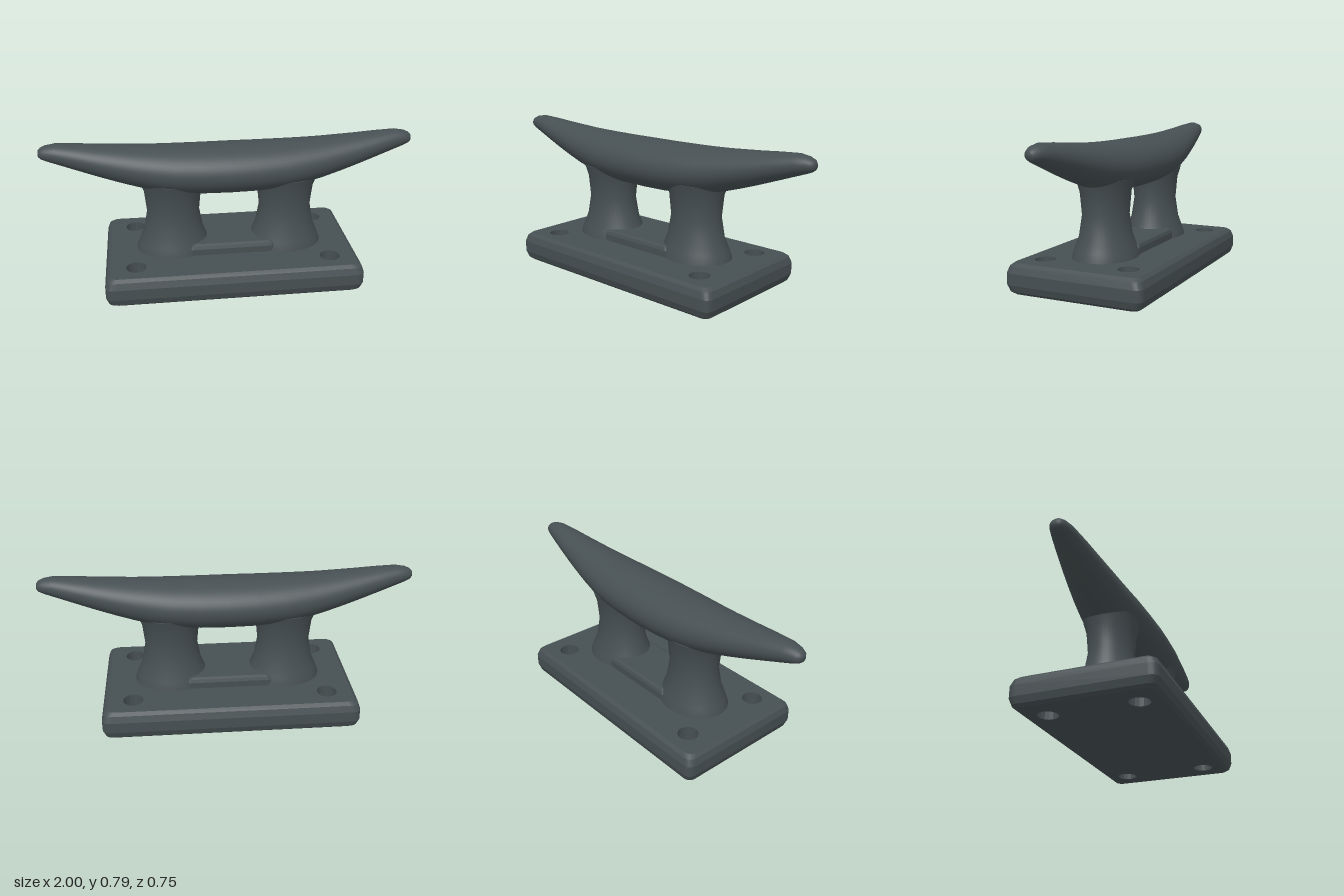
import * as THREE from 'three';
import { mergeVertices, toCreasedNormals } from 'three/addons/utils/BufferGeometryUtils.js';

const material = new THREE.MeshStandardMaterial({ color: 0x464f52 });

function addPart(group, name, geometry) {
  const mesh = new THREE.Mesh(geometry, material);
  mesh.name = name;
  group.add(mesh);
  return mesh;
}

// Slab with rounded corners, optional holes, and an outer edge inset per level [y, inset]
function slab(hx, hz, r, levels, holes = []) {
  const s = new THREE.Shape();
  s.moveTo(-hx + r, -hz);
  s.lineTo(hx - r, -hz);
  s.quadraticCurveTo(hx, -hz, hx, -hz + r);
  s.lineTo(hx, hz - r);
  s.quadraticCurveTo(hx, hz, hx - r, hz);
  s.lineTo(-hx + r, hz);
  s.quadraticCurveTo(-hx, hz, -hx, hz - r);
  s.lineTo(-hx, -hz + r);
  s.quadraticCurveTo(-hx, -hz, -hx + r, -hz);
  for (const [x, z, radius] of holes) {
    s.holes.push(new THREE.Path().absarc(x, z, radius, 0, Math.PI * 2, true));
  }
  const steps = levels.length - 1;
  const g = new THREE.ExtrudeGeometry(s, { depth: steps, steps, bevelEnabled: false, curveSegments: 8 });
  g.rotateX(-Math.PI / 2);
  const p = g.attributes.position;
  for (let i = 0; i < p.count; i++) {
    const [y, inset] = levels[Math.round(p.getY(i))];
    const x = p.getX(i), z = p.getZ(i);
    const outer = Math.abs(x) > hx - r - 1e-4 || Math.abs(z) > hz - r - 1e-4;
    const kx = outer ? (hx - inset) / hx : 1;
    const kz = outer ? (hz - inset) / hz : 1;
    p.setXYZ(i, x * kx, y, z * kz);
  }
  g.deleteAttribute('normal');
  return toCreasedNormals(g, 0.3);
}

// Horn: elliptical sections [x, top, bottom, half depth], mirrored about the middle
function hornGeometry() {
  const half = [
    [1, 0.741, 0.741, 0], [0.997, 0.757, 0.722, 0.018], [0.985, 0.77, 0.711, 0.034],
    [0.96, 0.781, 0.7, 0.046], [0.91, 0.789, 0.682, 0.06], [0.8, 0.782, 0.642, 0.083],
    [0.7, 0.773, 0.606, 0.102], [0.6, 0.766, 0.572, 0.12], [0.5, 0.759, 0.541, 0.137],
    [0.4, 0.755, 0.515, 0.152], [0.3, 0.752, 0.498, 0.166], [0.15, 0.75, 0.487, 0.176],
  ];
  const sections = [...half, [0, 0.75, 0.485, 0.18],
    ...half.slice().reverse().map(([x, ...rest]) => [-x, ...rest])];
  const around = 48;
  const g = new THREE.SphereGeometry(1, around, sections.length - 1);
  g.rotateZ(-Math.PI / 2);
  const p = g.attributes.position;
  for (let i = 0; i < p.count; i++) {
    const [x, top, bottom, hz] = sections[Math.floor(i / (around + 1))];
    const a = Math.atan2(p.getY(i), p.getZ(i));
    p.setXYZ(i, x, (top + bottom) / 2 + (top - bottom) / 2 * Math.sin(a), hz * Math.cos(a));
  }
  g.deleteAttribute('uv');
  g.deleteAttribute('normal');
  const merged = mergeVertices(g);
  merged.computeVertexNormals();
  return merged;
}

export function createModel() {
  const group = new THREE.Group();
  group.name = 'deckCleat';

  // Base plate with four bolt holes
  const holes = [];
  for (const x of [-0.525, 0.525]) for (const z of [-0.235, 0.235]) holes.push([x, z, 0.054]);
  addPart(group, 'basePlate', slab(0.69, 0.376, 0.045, [
    [0, 0.03], [0.015, 0.012], [0.05, 0], [0.11, 0], [0.145, 0.012], [0.16, 0.03],
  ], holes));

  // Raised rib joining the two posts
  addPart(group, 'centreRib', slab(0.23, 0.15, 0.015, [
    [0.15, 0], [0.195, 0], [0.212, 0.006], [0.22, 0.02],
  ]));

  // Waisted oval posts
  const profile = [[0, 0.15], [0.171, 0.15], [0.169, 0.162], [0.156, 0.205], [0.133, 0.27],
    [0.117, 0.38], [0.127, 0.5], [0.146, 0.565], [0, 0.567]].map(([x, y]) => new THREE.Vector2(x, y));
  for (const side of [1, -1]) {
    const g = new THREE.LatheGeometry(profile, 40).scale(1.22, 1, 1);
    const post = addPart(group, side > 0 ? 'leftPost' : 'rightPost', toCreasedNormals(g, 0.7));
    post.position.x = side * 0.31;
  }

  // Upswept horn across the top
  addPart(group, 'horn', hornGeometry());
  return group;
}
